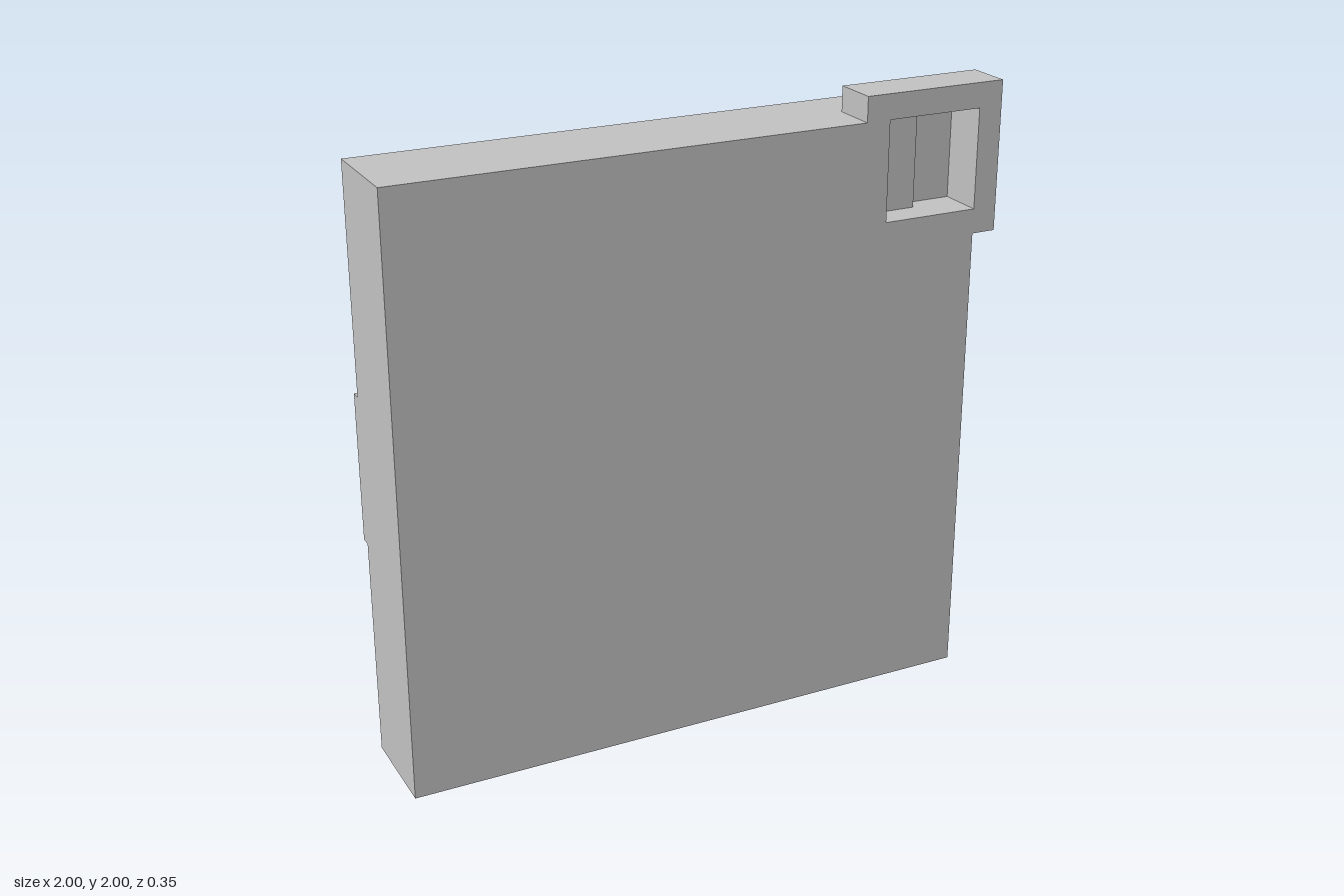
import * as THREE from 'three';

const grey = new THREE.MeshStandardMaterial({ color: 0xc2c2c2 });
grey.name = 'light grey';

// Closed path from [x, y] corners
function trace(path, points) {
  points.forEach(([x, y], i) => (i ? path.lineTo(x, y) : path.moveTo(x, y)));
  path.closePath();
  return path;
}

const rect = (x0, x1, y0, y1) => [[x0, y0], [x1, y0], [x1, y1], [x0, y1]];

// Flat layer between z0 and z1 with rectangular openings
function layer(name, outline, holes, z0, z1) {
  const shape = trace(new THREE.Shape(), outline);
  for (const hole of holes) shape.holes.push(trace(new THREE.Path(), hole));
  const geometry = new THREE.ExtrudeGeometry(shape, { depth: z1 - z0, bevelEnabled: false });
  geometry.translate(0, 0, z0);
  const mesh = new THREE.Mesh(geometry, grey);
  mesh.name = name;
  return mesh;
}

function block(name, x0, x1, y0, y1, z0, z1) {
  const mesh = new THREE.Mesh(new THREE.BoxGeometry(x1 - x0, y1 - y0, z1 - z0), grey);
  mesh.position.set((x0 + x1) / 2, (y0 + y1) / 2, (z0 + z1) / 2);
  mesh.name = name;
  return mesh;
}

export function createModel() {
  const model = new THREE.Group();
  model.name = 'door';
  const panel = rect(-1, 0.92, 0, 1.92);

  // Front layer with the raised corner and its handle recess
  const frontOutline = [
    [-1, 0], [0.92, 0], [0.92, 1.52], [1, 1.52], [1, 2], [0.52, 2], [0.52, 1.92], [-1, 1.92],
  ];
  model.add(layer('frontPanel', frontOutline, [rect(0.6, 0.92, 1.6, 1.92)], 0.025, 0.175));
  model.add(block('recessStep', 0.6, 0.76, 1.6, 1.92, 0.025, 0.075));

  // Solid core
  model.add(layer('corePanel', panel, [], -0.063, 0.025));

  // Back layer with six horizontal grooves
  const grooves = [[0.16, 0.24], [0.36, 0.56], [0.68, 0.88], [1, 1.2], [1.32, 1.52], [1.64, 1.76]];
  model.add(layer('groovedBack', panel, grooves.map(([y0, y1]) => rect(-0.84, 0.76, y0, y1)), -0.143, -0.063));

  // Mounting plates on both sides of the back, set slightly into the grooves
  model.add(block('leftBackPlate', 0.68, 0.92, 0.72, 1.2, -0.177, -0.12));
  model.add(block('rightBackPlate', -1, -0.76, 0.72, 1.2, -0.177, -0.12));

  return model;
}
